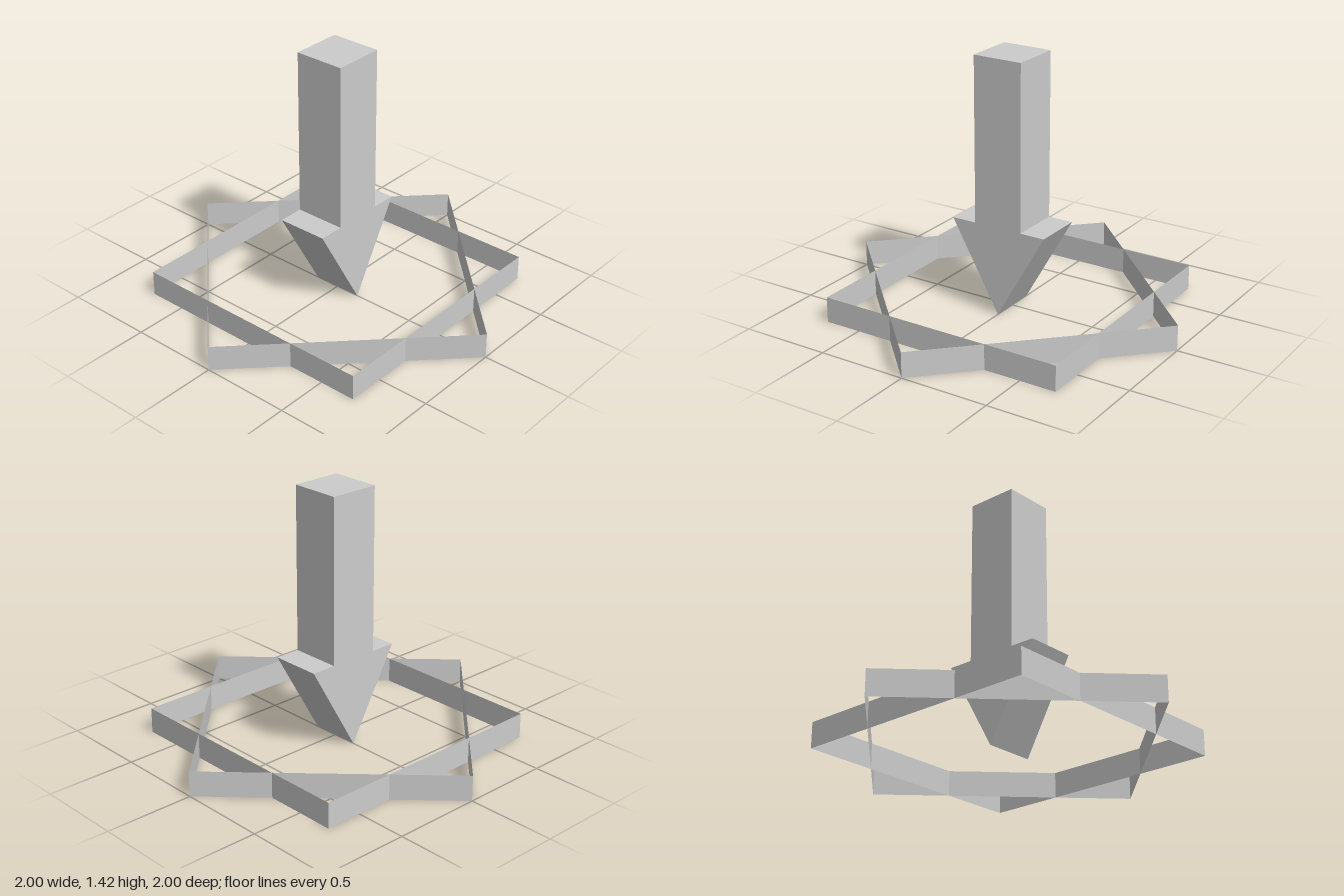
import * as THREE from 'three';

export function createModel() {
  const model = new THREE.Group();
  const grey = new THREE.MeshStandardMaterial({ color: 0xcccccc, side: THREE.DoubleSide });
  grey.name = 'light grey';

  // Downward arrow: side profile extruded across x
  const half = 0.142, barb = 0.284, shoulder = 0.5, top = 1.42;
  const profile = new THREE.Shape([
    [0, 0], [barb, shoulder], [half, shoulder], [half, top],
    [-half, top], [-half, shoulder], [-barb, shoulder],
  ].map(([x, y]) => new THREE.Vector2(x, y)));
  const arrowGeometry = new THREE.ExtrudeGeometry(profile, { depth: 2 * half, bevelEnabled: false });
  arrowGeometry.translate(0, 0, -half).rotateY(Math.PI / 2);
  const arrow = new THREE.Mesh(arrowGeometry, grey);
  arrow.name = 'arrow';
  model.add(arrow);

  // Eight-pointed base: two open square bands, one turned by 45 degrees
  const height = 0.142;
  ['squareBand', 'turnedSquareBand'].forEach((name, i) => {
    const geometry = new THREE.CylinderGeometry(1, 1, height, 4, 1, true).toNonIndexed();
    geometry.computeVertexNormals();
    const band = new THREE.Mesh(geometry, grey);
    band.name = name;
    band.position.y = height / 2;
    band.rotation.y = i * Math.PI / 4;
    model.add(band);
  });

  return model;
}
